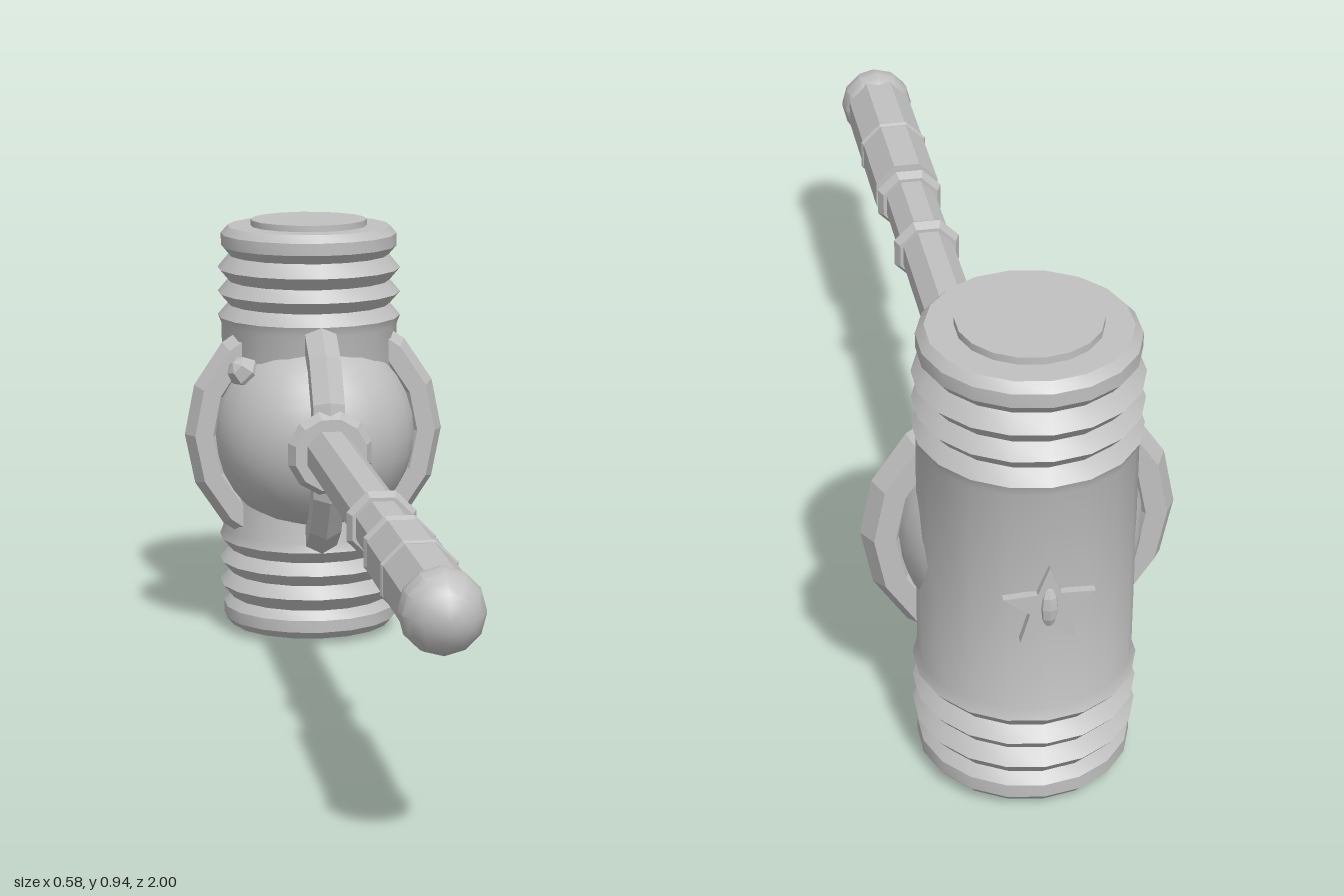
import * as THREE from 'three';
import { toCreasedNormals } from 'three/addons/utils/BufferGeometryUtils.js';

const MID = 0.468;      // height of the handle axis
const HEAD_Z = -0.782;  // axis of the hammer head
const BALL_Z = -0.71;   // centre of the round socket
const FLAT = 0.01, SOFT = 0.55;

export function createModel() {
  const model = new THREE.Group();
  const gray = new THREE.MeshStandardMaterial({ color: 0xc0c0c0 });
  gray.name = 'gray';

  const add = (name, geometry, crease, x = 0, y = MID, z = 0) => {
    const mesh = new THREE.Mesh(toCreasedNormals(geometry, crease), gray);
    mesh.name = name;
    mesh.position.set(x, y, z);
    model.add(mesh);
    return mesh;
  };

  // Head: half profile (radius, height above the middle), mirrored for the lower half
  const upper = [
    [0.197, 0.232], [0.205, 0.253], [0.182, 0.28], [0.205, 0.306], [0.182, 0.333],
    [0.205, 0.36], [0.18, 0.39], [0.197, 0.41], [0.197, 0.437], [0.182, 0.454],
    [0.13, 0.454], [0.13, 0.468], [0, 0.468],
  ];
  const lower = upper.map(([r, h]) => [r, -h]).reverse();
  const profile = [...lower, ...upper].map(([r, h]) => new THREE.Vector2(r, h));
  add('hammerHead', new THREE.LatheGeometry(profile, 18), SOFT, 0, MID, HEAD_Z);

  // Round socket bulging out of the head
  add('socketBall', new THREE.SphereGeometry(0.226, 24, 16), SOFT, 0, MID, BALL_Z);

  // Ribs with hexagonal section on both sides and over the front
  const rib = () => new THREE.TorusGeometry(0.25, 0.04, 6, 8, Math.PI).rotateZ(-Math.PI / 2);
  add('leftRib', rib(), FLAT, 0, MID, BALL_Z);
  add('rightRib', rib().rotateY(Math.PI), FLAT, 0, MID, BALL_Z);
  add('frontRib', rib().rotateY(-Math.PI / 2), FLAT, 0, MID, BALL_Z);

  // Faceted studs on the socket
  for (const [x, y, z] of [[-0.165, 0.15, 0.07], [0.145, -0.168, 0.095]]) {
    const stud = add('stud', new THREE.SphereGeometry(0.036, 6, 4), FLAT, x, MID + y, BALL_Z + z);
    stud.quaternion.setFromUnitVectors(
      new THREE.Vector3(0, 1, 0), new THREE.Vector3(x, y, z).normalize());
  }

  // Octagonal shaft and grip
  const rod = (name, radius, z0, z1) => add(name,
    new THREE.CylinderGeometry(radius, radius, z1 - z0, 8)
      .rotateY(Math.PI / 8).rotateX(Math.PI / 2), FLAT, 0, MID, (z0 + z1) / 2);
  rod('shaft', 0.056, -0.5, 0.52);
  rod('grip', 0.072, 0.505, 0.9);

  // Rings around the handle: middle radius, tube radius, position, sides
  const rings = [
    ['collar', 0.066, 0.028, -0.45, 12],
    ['shaftRing', 0.053, 0.021, 0.258, 8],
    ['shaftRing', 0.053, 0.021, 0.475, 8],
    ['gripRing', 0.069, 0.008, 0.69, 8],
  ];
  for (const [name, radius, tube, z, sides] of rings) {
    const ring = new THREE.TorusGeometry(radius, tube, 6, sides).rotateZ(Math.PI / sides);
    add(name, ring, FLAT, 0, MID, z);
  }

  // Pommel
  add('pommel', new THREE.SphereGeometry(0.078, 12, 10).rotateX(Math.PI / 2), SOFT, 0, MID, 0.922);

  // Star badge with a pointed oval boss on the back
  const star = new THREE.Shape();
  for (let i = 0; i < 10; i++) {
    const r = i % 2 ? 0.036 : 0.086;
    const a = Math.PI / 2 + i * Math.PI / 5;
    if (i) star.lineTo(r * Math.cos(a), r * Math.sin(a));
    else star.moveTo(r * Math.cos(a), r * Math.sin(a));
  }
  star.closePath();
  const plate = new THREE.ExtrudeGeometry(star, { depth: 0.015, bevelEnabled: false });
  add('starBadge', plate, FLAT, 0, MID, -0.988);
  add('badgeBoss', new THREE.SphereGeometry(1, 8, 6).scale(0.018, 0.045, 0.02), FLAT, 0, MID, -0.98);

  return model;
}
